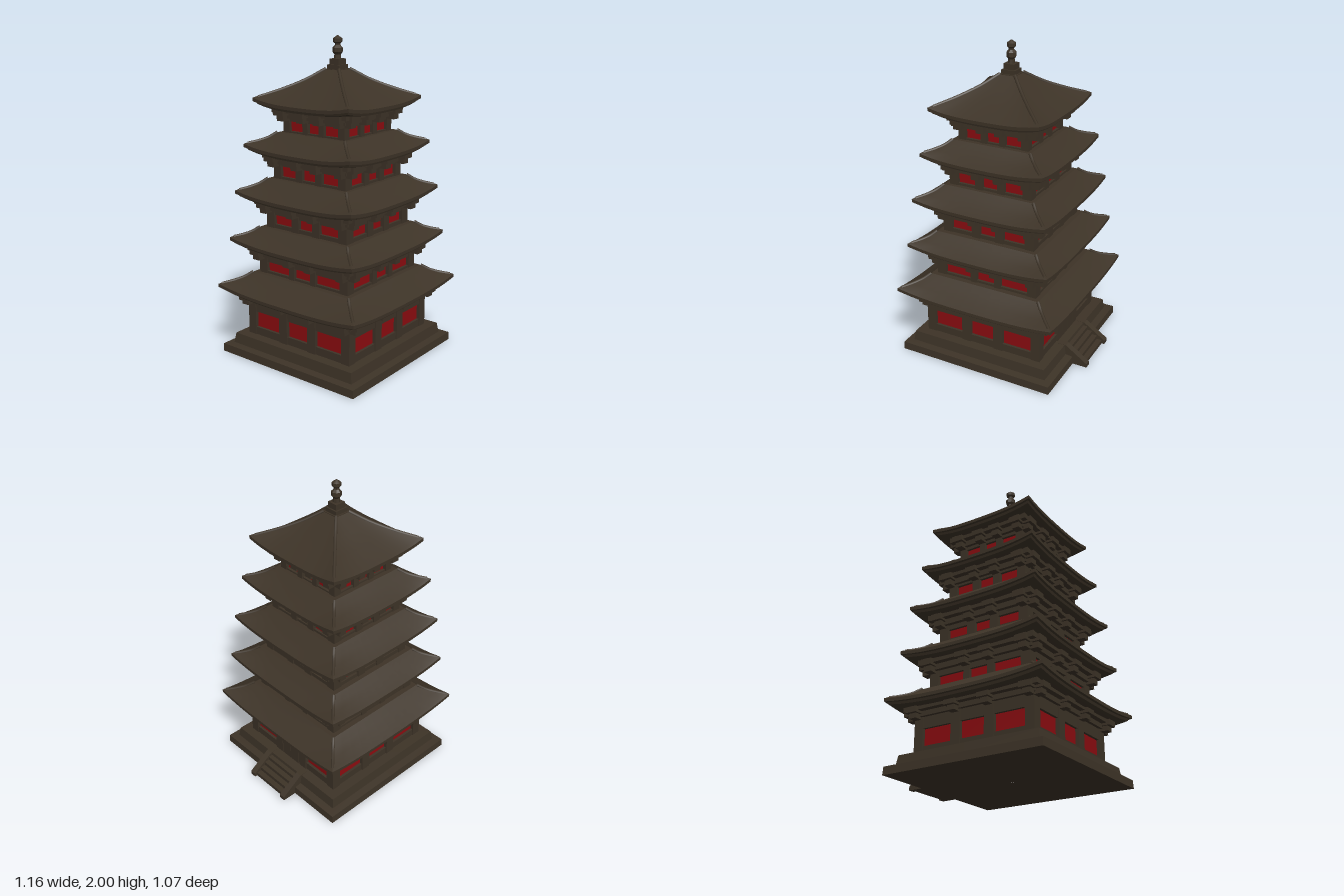
import * as THREE from 'three';
import { toCreasedNormals } from 'three/addons/utils/BufferGeometryUtils.js';

const wood = new THREE.MeshStandardMaterial({ color: 0x3d3327 });
wood.name = 'dark timber';
const red = new THREE.MeshStandardMaterial({ color: 0x8c0c10 });
red.name = 'red panel';

function add(parent, name, geometry, x = 0, y = 0, z = 0, material = wood) {
  const mesh = new THREE.Mesh(geometry, material);
  mesh.name = name;
  mesh.position.set(x, y, z);
  parent.add(mesh);
  return mesh;
}

// Box given by its width, bottom, top and depth
function block(parent, name, w, y0, y1, d, x = 0, z = 0, material = wood) {
  return add(parent, name, new THREE.BoxGeometry(w, y1 - y0, d), x, (y0 + y1) / 2, z, material);
}

// Square rings [half width, y, corner lift], listed from the underside to the top
function squareLoft(rings, n = 12) {
  const pos = [], index = [], count = 4 * n;
  for (const [h, y, lift] of rings) {
    for (let side = 0; side < 4; side++) {
      for (let k = 0; k < n; k++) {
        const t = (2 * k) / n - 1, a = (side * Math.PI) / 2;
        const u = h * t;
        pos.push(
          u * Math.cos(a) + h * Math.sin(a),
          y + lift * Math.abs(t) ** 3,
          h * Math.cos(a) - u * Math.sin(a));
      }
    }
  }
  for (let r = 0; r < rings.length - 1; r++) {
    for (let j = 0; j < count; j++) {
      const a = r * count + j, b = r * count + ((j + 1) % count);
      index.push(a, b, b + count, a, b + count, a + count);
    }
  }
  const g = new THREE.BufferGeometry();
  g.setAttribute('position', new THREE.Float32BufferAttribute(pos, 3));
  g.setIndex(index);
  return toCreasedNormals(g, 0.5);
}

function roof(parent, { eave, low, top, topHalf }) {
  const lift = 0.03, rise = top - low - 0.05;
  const at = (f) => eave - 0.015 + (topHalf - eave + 0.015) * f;
  add(parent, 'roof', squareLoft([
    [0.01, low + 0.03, 0], [eave - 0.14, low + 0.02, 0], [eave - 0.05, low, lift * 0.7],
    [eave - 0.02, low + 0.005, lift], [eave - 0.015, low + 0.02, lift], [eave, low + 0.022, lift],
    [eave, low + 0.042, lift], [at(0), low + 0.05, lift],
    [at(0.35), low + 0.05 + rise * 0.29, lift * 0.5], [at(0.7), low + 0.05 + rise * 0.64, 0.005],
    [topHalf, top, 0], [0.01, top, 0],
  ]));
  // Hip ridges along the four diagonals
  for (const sx of [-1, 1]) for (const sz of [-1, 1]) {
    const pts = [[at(0.03), low + 0.075], [at(0.35), low + 0.062 + rise * 0.29],
      [at(0.7), low + 0.05 + rise * 0.65], [topHalf, top]]
      .map(([h, y]) => new THREE.Vector3(sx * h, y, sz * h));
    add(parent, 'hipRidge', new THREE.TubeGeometry(new THREE.CatmullRomCurve3(pts), 10, 0.011, 6));
  }
}

function storey(parent, s) {
  const { half, y0, y1, win, winY, bracket, low, door } = s;
  const core = half - 0.03;
  block(parent, 'wallCore', core * 2, y0, low + 0.03, core * 2);
  block(parent, 'sill', half * 2 - 0.01, y0, winY[0], half * 2 - 0.01);
  block(parent, 'lintel', half * 2 - 0.01, winY[1], y1, half * 2 - 0.01);
  block(parent, 'bracketBeam', bracket * 2 - 0.11, y1, (y1 + low) / 2 + 0.01, bracket * 2 - 0.11);
  block(parent, 'eaveBeam', bracket * 2 - 0.04, (y1 + low) / 2 + 0.01, low + 0.025, bracket * 2 - 0.04);

  const [mid, inner, outer] = win;
  const post = (mid + inner) / 2;
  for (let i = 0; i < 4; i++) {
    const face = new THREE.Group();
    face.name = 'wallFace';
    face.rotation.y = (i * Math.PI) / 2;
    parent.add(face);
    const hasDoor = door && i === 1;

    // Panels between the posts
    for (const sx of [-1, 1]) {
      block(face, 'sidePanel', outer - inner, winY[0], winY[1], 0.008,
        sx * (inner + outer) / 2, core + 0.004, red);
      block(face, 'post', inner - mid, y0, y1, 0.034, sx * post, half - 0.015);
      block(face, 'cornerPost', half - outer, y0, y1, 0.034, sx * (half + outer) / 2, half - 0.017);
    }
    if (hasDoor) {
      const w = mid - 0.004;
      for (const sx of [-1, 1]) block(face, 'doorLeaf', w - 0.003, y0, winY[1] + 0.03, 0.012, sx * w / 2, half - 0.004);
      block(face, 'doorLintel', inner * 2, winY[1] + 0.03, winY[1] + 0.05, 0.03, 0, half);
    } else {
      block(face, 'middlePanel', mid * 2, winY[0], winY[1], 0.008, 0, core + 0.004, red);
    }

    // Stepped brackets carrying the eave
    for (const x of [-half + 0.02, -post, post, half - 0.02]) {
      const midY = (y1 + low) / 2;
      block(face, 'lowerBracket', 0.05, y1 - 0.015, midY, 0.08, x, bracket - 0.06);
      block(face, 'upperBracket', 0.075, midY - 0.005, low + 0.01, 0.08, x, bracket - 0.04);
    }
  }
}

function stairs(parent) {
  const g = new THREE.Group();
  g.name = 'stairs';
  parent.add(g);
  for (let i = 0; i < 4; i++) {
    const end = 0.602 - i * 0.035;
    block(g, 'step', end - 0.42, 0, 0.025 * (i + 1), 0.26, (end + 0.42) / 2, 0);
  }
  // Sloping side walls
  const shape = new THREE.Shape([[0.42, 0], [0.62, 0], [0.62, 0.025], [0.475, 0.122], [0.42, 0.122]]
    .map(([x, y]) => new THREE.Vector2(x, y)));
  for (const z of [-0.17, 0.125]) {
    add(g, 'stairWall', new THREE.ExtrudeGeometry(shape, { depth: 0.04, bevelEnabled: false }), 0, 0, z);
  }
}

function finial(parent) {
  const g = new THREE.Group();
  g.name = 'finial';
  parent.add(g);
  block(g, 'finialBase', 0.11, 1.765, 1.8, 0.11);
  block(g, 'finialBase', 0.09, 1.8, 1.825, 0.09);
  block(g, 'finialPlinth', 0.07, 1.825, 1.86, 0.07);
  const profile = [[0, 1.86], [0.022, 1.86], [0.02, 1.885], [0.031, 1.9], [0.031, 1.925], [0.017, 1.94],
    [0.017, 1.95], [0.028, 1.96], [0.028, 1.98], [0, 2]].map(([r, y]) => new THREE.Vector2(r, y));
  add(g, 'finialSpire', toCreasedNormals(new THREE.LatheGeometry(profile, 8), 0.5));
}

export function createModel() {
  const model = new THREE.Group();
  model.name = 'pagoda';
  const tower = new THREE.Group();
  tower.name = 'tower';
  tower.position.x = -0.042;
  model.add(tower);

  // Stone base
  add(tower, 'base', squareLoft([[0.01, 0, 0], [0.525, 0, 0], [0.522, 0.05, 0], [0.475, 0.056, 0],
    [0.465, 0.12, 0], [0.01, 0.125, 0]], 2));
  stairs(tower);

  // win: middle half width, inner edge and outer edge of the side panels
  const levels = [
    { half: 0.405, y0: 0.12, y1: 0.345, win: [0.082, 0.145, 0.345], winY: [0.17, 0.275], bracket: 0.475,
      low: 0.385, eave: 0.537, top: 0.53, topHalf: 0.38, door: true },
    { half: 0.35, y0: 0.51, y1: 0.64, win: [0.063, 0.105, 0.288], winY: [0.545, 0.605], bracket: 0.425,
      low: 0.69, eave: 0.48, top: 0.825, topHalf: 0.345 },
    { half: 0.315, y0: 0.81, y1: 0.94, win: [0.054, 0.11, 0.252], winY: [0.85, 0.91], bracket: 0.39,
      low: 0.99, eave: 0.45, top: 1.135, topHalf: 0.305 },
    { half: 0.28, y0: 1.11, y1: 1.23, win: [0.05, 0.1, 0.222], winY: [1.15, 1.215], bracket: 0.35,
      low: 1.28, eave: 0.407, top: 1.42, topHalf: 0.26 },
    { half: 0.235, y0: 1.4, y1: 1.51, win: [0.043, 0.082, 0.187], winY: [1.43, 1.49], bracket: 0.305,
      low: 1.56, eave: 0.364, top: 1.8, topHalf: 0.05 },
  ];
  levels.forEach((level, i) => {
    const g = new THREE.Group();
    g.name = 'storey' + (i + 1);
    tower.add(g);
    storey(g, level);
    roof(g, level);
  });
  finial(tower);
  return model;
}
